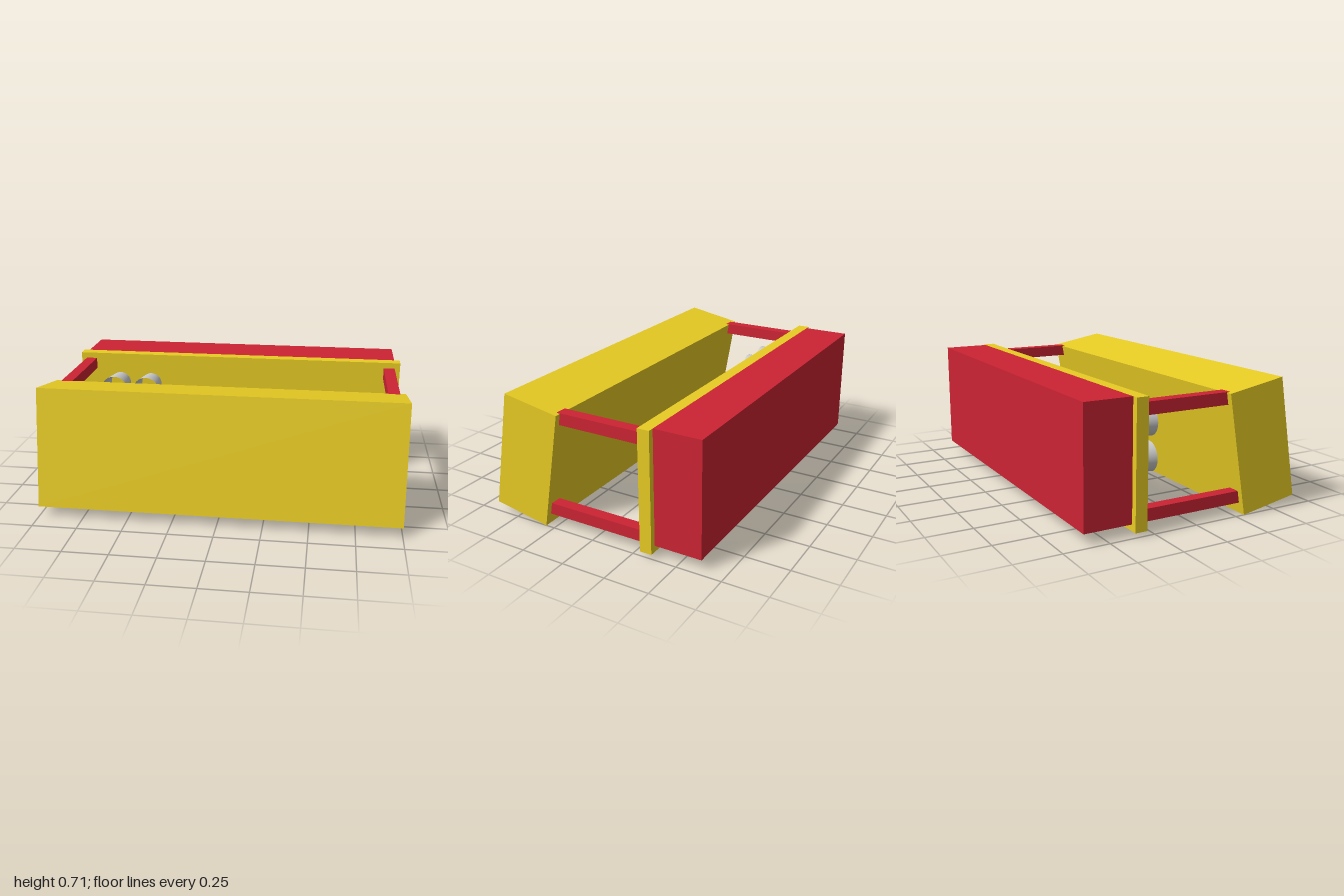
import * as THREE from 'three';

export function createModel() {
  const root = new THREE.Group();
  const yellow = new THREE.MeshStandardMaterial({ color: 0xe8cc24 });
  const red = new THREE.MeshStandardMaterial({ color: 0xcc2433 });
  const grey = new THREE.MeshStandardMaterial({ color: 0xcccccc, side: THREE.DoubleSide });

  function add(name, geometry, material, x, y, z) {
    const mesh = new THREE.Mesh(geometry, material);
    mesh.name = name;
    mesh.position.set(x, y, z);
    root.add(mesh);
    return mesh;
  }
  const box = (w, h, d) => new THREE.BoxGeometry(w, h, d);

  // Rear housing, mounting panel and tilted front block
  add('rearHousing', box(1.934, 0.635, 0.265), red, 0, 0.3775, -0.4925);
  add('mountingPanel', box(2, 0.67, 0.067), yellow, 0, 0.36, -0.3265);
  const block = add('frontBlock', box(2, 0.667, 0.333), yellow, 0, 0.358, 0.409);
  block.rotation.x = THREE.MathUtils.degToRad(-10);
  // keep the lower front edge forward of the upper one

  // Four connecting rods, ending inside the front block
  for (const x of [-0.935, 0.935]) {
    for (const [name, y, end] of [['upperRod', 0.628, 0.25], ['lowerRod', 0.093, 0.33]]) {
      add(name, box(0.065, 0.066, end + 0.3), red, x, y, (end - 0.3) / 2);
    }
  }

  // Open tube running from the panel forward
  function tube(name, x, y, backRadius) {
    const geometry = new THREE.CylinderGeometry(0.081, backRadius, 0.165, 32, 1, true);
    geometry.rotateX(Math.PI / 2);
    add(name, geometry, grey, x, y, -0.2125);
  }

  // Upper pair of flared cups
  for (const x of [-0.75, -0.55]) tube('upperCup', x, 0.51, 0.063);

  // Lower row of flared cups on thin flanges
  for (const x of [-0.75, -0.45, -0.15, 0.15]) {
    tube('lowerCup', x, 0.32, 0.063);
    const flange = new THREE.CylinderGeometry(0.117, 0.117, 0.008, 32).rotateX(Math.PI / 2);
    add('cupFlange', flange, grey, x, 0.32, -0.29);
  }

  // Two straight cylinders set diagonally
  tube('straightCup', 0.45, 0.41, 0.081);
  tube('straightCup', 0.65, 0.275, 0.081);

  return root;
}
